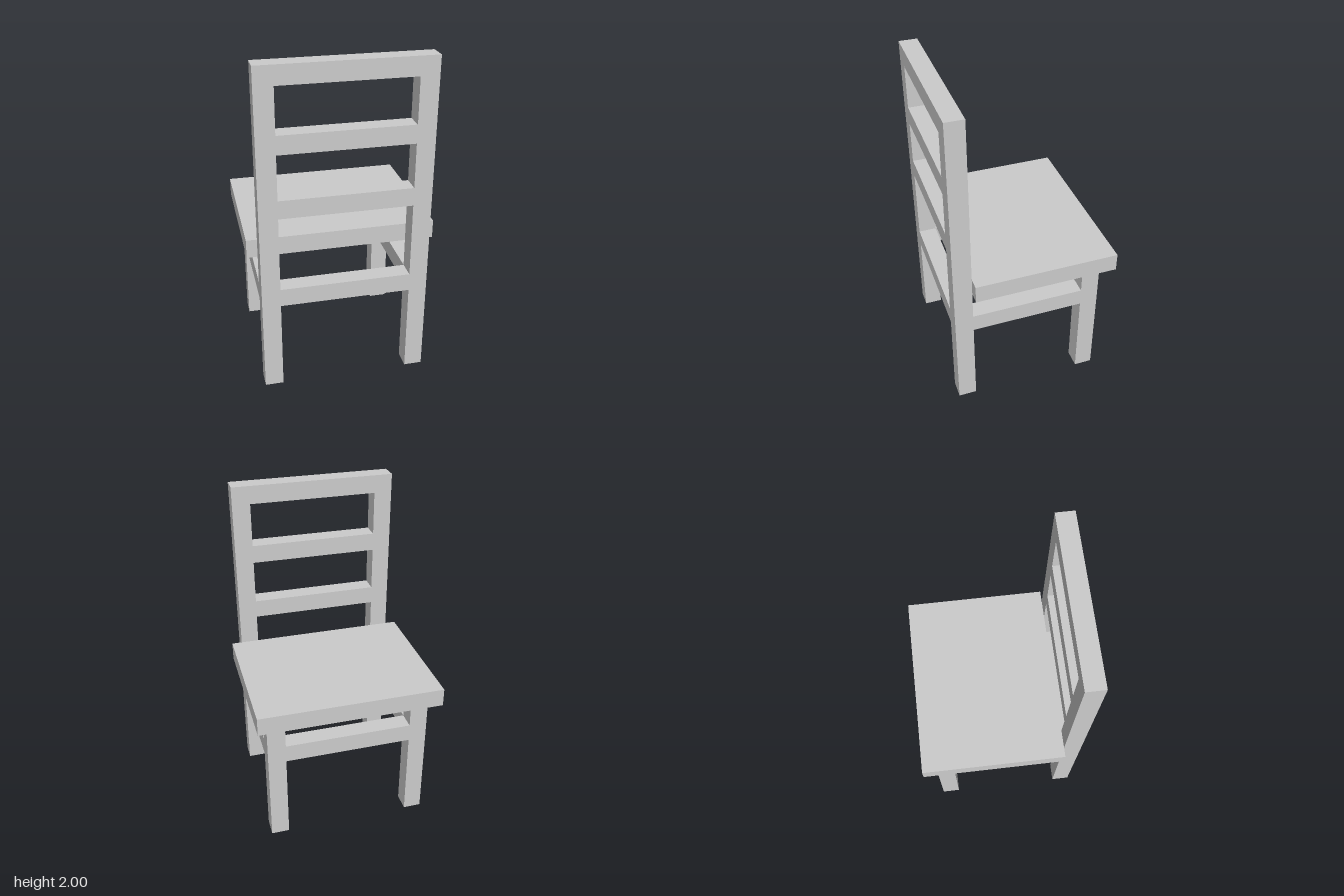
import * as THREE from 'three';

export function createModel() {
  const chair = new THREE.Group();
  chair.name = 'chair';
  const material = new THREE.MeshStandardMaterial({ color: 0xcccccc, flatShading: true });

  // Box given by its extents along each axis
  function bar(name, [x0, x1], [y0, y1], [z0, z1]) {
    const mesh = new THREE.Mesh(new THREE.BoxGeometry(x1 - x0, y1 - y0, z1 - z0), material);
    mesh.position.set((x0 + x1) / 2, (y0 + y1) / 2, (z0 + z1) / 2);
    mesh.name = name;
    chair.add(mesh);
  }

  const inner = 0.39, outer = 0.5;
  const postZ = [0.384, 0.495];
  const legZ = [-0.418, -0.307];
  const stretcherY = [0.562, 0.673];

  // Seat board, overhanging the legs and butting against the back posts
  bar('seat', [-0.563, 0.563], [0.845, 0.957], [-0.495, 0.381]);

  // Tall back posts, short legs and side stretchers, mirrored
  for (const [side, x] of [['left', [inner, outer]], ['right', [-outer, -inner]]]) {
    bar(side + 'BackPost', x, [0, 2], postZ);
    bar(side + 'SeatLeg', x, [0, 0.845], legZ);
    bar(side + 'Stretcher', x, stretcherY, [legZ[1], postZ[0]]);
  }

  // Cross stretchers under the seat
  const span = [-inner, inner];
  bar('seatLegStretcher', span, stretcherY, legZ);
  bar('backPostStretcher', span, stretcherY, postZ);

  // Slats of the ladder back
  [1.131, 1.51, 1.889].forEach((y, i) => bar('backSlat' + (i + 1), span, [y, y + 0.111], postZ));

  return chair;
}
